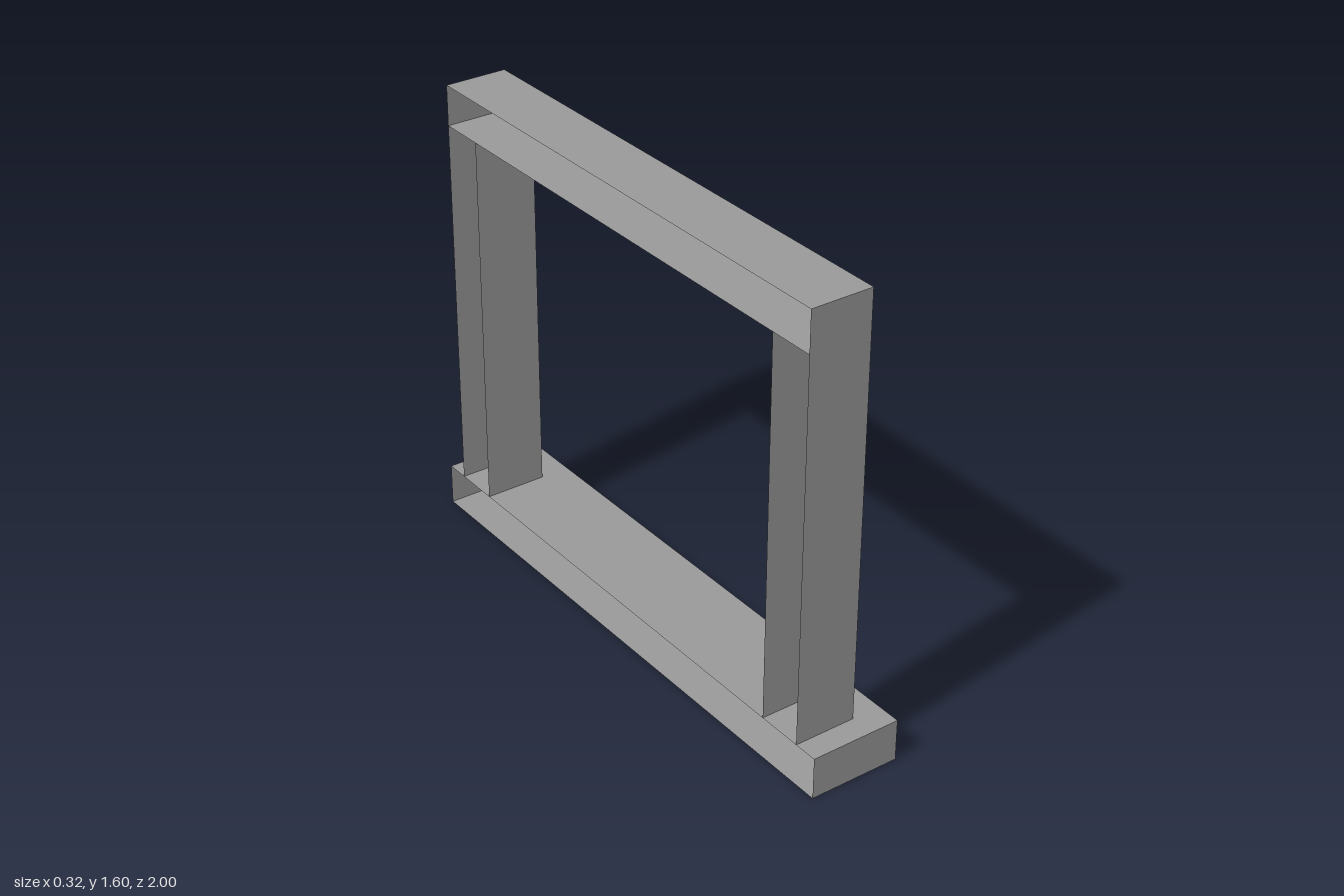
import * as THREE from 'three';

const grey = new THREE.MeshStandardMaterial({ color: 0x999999, side: THREE.DoubleSide });
grey.name = 'grey';

// Face order of a box: +x, -x, +y, -y, +z, -z
const [LEFT, RIGHT, TOP, BOTTOM] = [0, 1, 2, 3];

// Hollow box between two corners, with the listed faces left open
function openBox(name, [x0, y0, z0], [x1, y1, z1], openFaces) {
  const geometry = new THREE.BoxGeometry(x1 - x0, y1 - y0, z1 - z0);
  geometry.translate((x0 + x1) / 2, (y0 + y1) / 2, (z0 + z1) / 2);
  const kept = Array.from(geometry.index.array).filter((_, i) => !openFaces.includes(Math.floor(i / 6)));
  geometry.setIndex(kept);
  geometry.clearGroups();
  const mesh = new THREE.Mesh(geometry, grey);
  mesh.name = name;
  return mesh;
}

export function createModel() {
  const model = new THREE.Group();
  model.name = 'windowFrame';

  const back = -0.159, face = 0.057, sillFace = 0.159;
  const sillTop = 0.145, beamBottom = 1.457, top = 1.596;
  const outer = 0.916, inner = 0.756;

  // Projecting sill and head beam, open on the wall side
  model.add(openBox('sill', [back, 0, -1], [sillFace, sillTop, 1], [RIGHT]));
  model.add(openBox('headBeam', [back, beamBottom, -outer], [face, top, outer], [RIGHT]));

  // Side posts, open on the wall side and where they meet the sill and beam
  const open = [RIGHT, TOP, BOTTOM];
  model.add(openBox('frontPost', [back, sillTop, inner], [face, beamBottom, outer], open));
  model.add(openBox('backPost', [back, sillTop, -outer], [face, beamBottom, -inner], open));

  return model;
}
